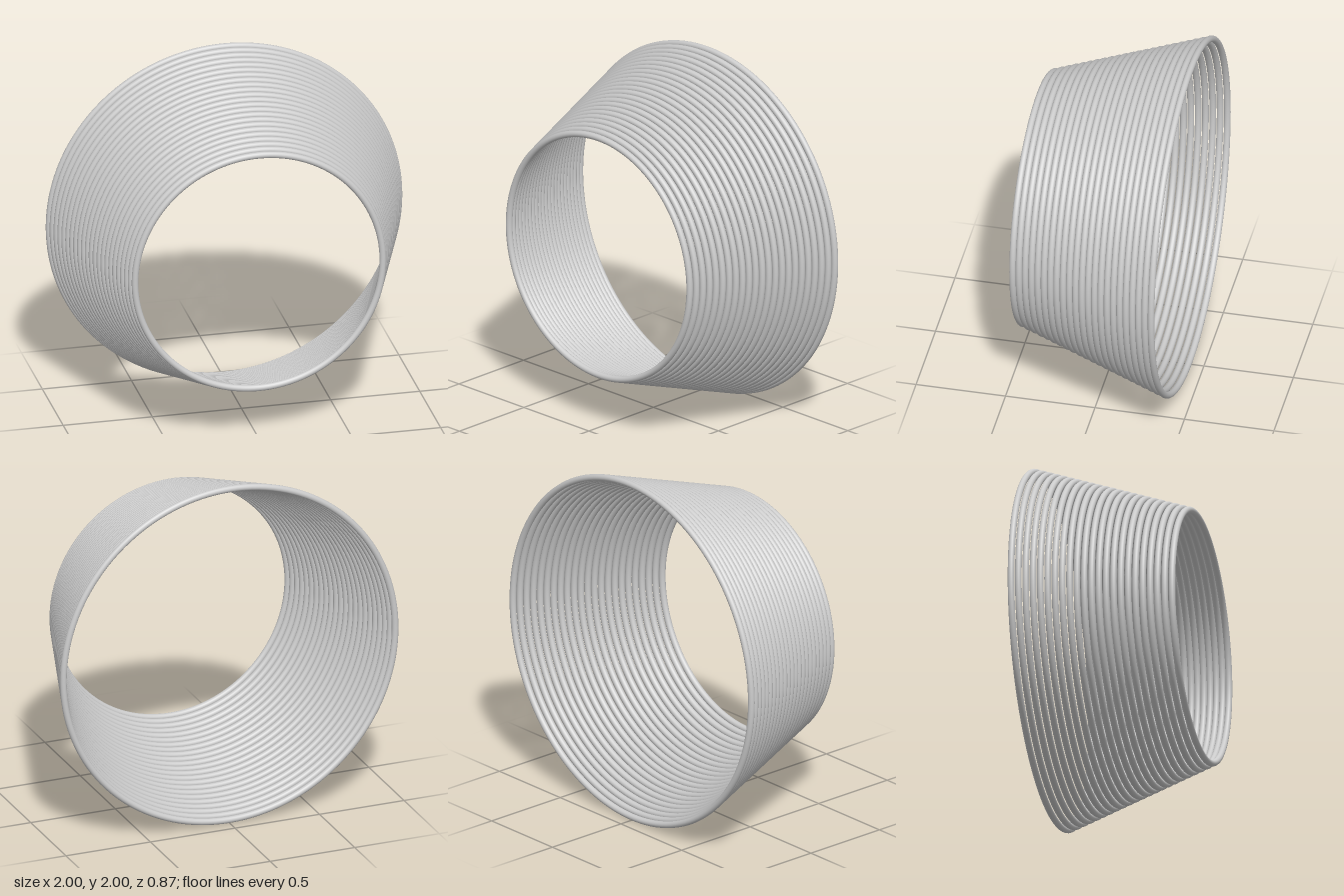
import * as THREE from 'three';

// Tapered sleeve made of a stack of round rings, wide end at the back.
export function createModel() {
  const group = new THREE.Group();
  group.name = 'ringedSleeve';
  const material = new THREE.MeshStandardMaterial({ color: 0xcccccc });

  const count = 23;
  const tube = 0.0185;
  const halfDepth = 0.418;
  const backRadius = 1 - tube;
  const frontRadius = 0.695;

  for (let i = 0; i < count; i++) {
    const t = i / (count - 1);
    const radius = THREE.MathUtils.lerp(backRadius, frontRadius, t);
    const ring = new THREE.Mesh(new THREE.TorusGeometry(radius, tube, 16, 144), material);
    ring.name = `ring${i + 1}`;
    ring.position.set(0, 1, THREE.MathUtils.lerp(-halfDepth, halfDepth, t));
    group.add(ring);
  }
  return group;
}
